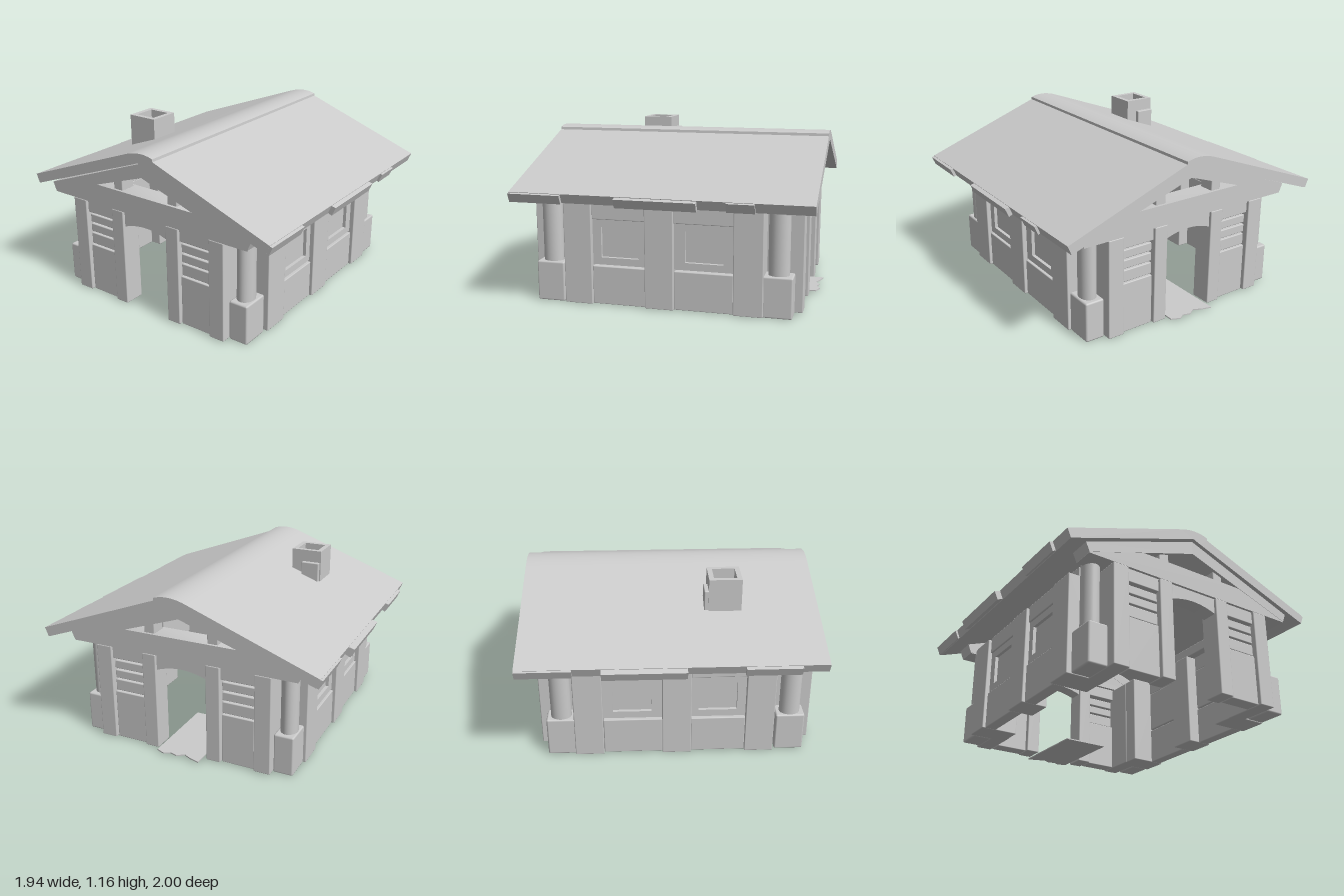
import * as THREE from 'three';
import { toCreasedNormals } from 'three/addons/utils/BufferGeometryUtils.js';
import { RoundedBoxGeometry } from 'three/addons/geometries/RoundedBoxGeometry.js';

const material = new THREE.MeshStandardMaterial({ color: 0xcccccc, side: THREE.DoubleSide });

function add(parent, name, geometry) {
  const mesh = new THREE.Mesh(geometry, material);
  mesh.name = name;
  parent.add(mesh);
  return mesh;
}

// Softly bevelled box given by its limits
function block(parent, name, [x0, x1], [y0, y1], [z0, z1], bevel = 0.006) {
  const g = new RoundedBoxGeometry(x1 - x0, y1 - y0, z1 - z0, 1, bevel);
  g.translate((x0 + x1) / 2, (y0 + y1) / 2, (z0 + z1) / 2);
  return add(parent, name, g);
}

// Polygon of [z, y] points extruded along x from x0 to x1
function alongX(parent, name, points, x0, x1) {
  const shape = new THREE.Shape(points.map(([z, y]) => new THREE.Vector2(-z, y)));
  const g = new THREE.ExtrudeGeometry(shape, { depth: x1 - x0, bevelEnabled: false });
  g.rotateY(Math.PI / 2).translate(x0, 0, 0);
  return add(parent, name, toCreasedNormals(g, 0.4));
}

function rect(Type, x0, x1, y0, y1) {
  const p = new Type();
  p.moveTo(x0, y0);
  p.lineTo(x1, y0);
  p.lineTo(x1, y1);
  p.lineTo(x0, y1);
  p.closePath();
  return p;
}

// Long wall: three posts, two bays with a sill panel and a framed window
function longWall() {
  const wall = new THREE.Group();
  for (const [x, inner] of [[-0.553, 0.52], [0, 0.6], [0.583, 0.52]])
    block(wall, 'wallPost', [x - 0.096, x + 0.096], [0.005, 0.685], [inner, 0.782]);
  for (const [a, b] of [[-0.458, -0.095], [0.095, 0.486]]) {
    const x = (a + b) / 2 + 0.004;
    block(wall, 'lowerPanel', [a, b], [0.005, 0.264], [0.68, 0.762]);
    const frame = rect(THREE.Shape, a, b, 0.273, 0.58);
    frame.holes.push(rect(THREE.Path, x - 0.127, x + 0.127, 0.322, 0.528));
    const g = new THREE.ExtrudeGeometry(frame, { depth: 0.06, bevelEnabled: false });
    add(wall, 'windowFrame', g.translate(0, 0, 0.69));
    block(wall, 'windowPane', [a, b], [0.273, 0.58], [0.68, 0.727]);
    block(wall, 'headBeam', [a, b], [0.578, 0.7], [0.68, 0.762]);
  }
  block(wall, 'topPlate', [-0.635, 0.645], [0.688, 0.76], [0.62, 0.70]);
  return wall;
}

// Gable end: posts, louvred bays, arched doorway, tie beam and rafters
function gableWall() {
  const wall = new THREE.Group();
  for (const s of [-1, 1]) {
    const span = (a, b) => (s > 0 ? [a, b] : [-b, -a]);
    block(wall, 'cornerPost', [0.6, 0.915], [0.005, 0.68], span(0.515, 0.627));
    block(wall, 'doorJamb', [0.77, 0.915], [0.005, 0.68], span(0.18, 0.278));
    block(wall, 'sidePanel', [0.79, 0.895], [0.005, 0.35], span(0.283, 0.51));
    block(wall, 'sideHead', [0.79, 0.895], [0.59, 0.685], span(0.27, 0.52));
    for (const [y, h] of [[0.395, 0.04], [0.475, 0.029], [0.545, 0.029]])
      block(wall, 'louvre', [0.81, 0.885], [y - h, y + h], span(0.283, 0.51));
    block(wall, 'kingStrut', [0.79, 0.895], [0.815, 0.9], span(0.188, 0.262));
    alongX(wall, 'rafter', [[0.825, 0.745], [0.8, 0.685], [0, 0.955], [0, 1.05]]
      .map(([z, y]) => [z * s, y]), 0.765, 0.915);
  }
  // Tie beam cut to the slope of the rafters
  alongX(wall, 'tieBeam', [[0.8, 0.68], [0.8, 0.687], [0.4, 0.82],
    [-0.4, 0.82], [-0.8, 0.687], [-0.8, 0.68]], 0.767, 0.913);
  // Arched lintel
  const arch = [[-0.185, 0.68], [0.185, 0.68]];
  for (let i = 0; i <= 12; i++) {
    const t = 1 - i / 6;
    arch.push([0.185 * t, 0.605 - 0.037 * t * t]);
  }
  alongX(wall, 'doorLintel', arch, 0.79, 0.895);
  return wall;
}

export function createModel() {
  const house = new THREE.Group();
  house.name = 'house';
  // The walls sit slightly off the roof's centre
  const body = new THREE.Group();
  body.name = 'body';
  body.position.set(-0.035, 0, 0.005);
  house.add(body);

  for (const s of [1, -1]) {
    const wall = longWall();
    wall.name = s > 0 ? 'frontWall' : 'backWall';
    wall.scale.z = s;
    body.add(wall);
    const gable = gableWall();
    gable.name = s > 0 ? 'leftGableWall' : 'rightGableWall';
    gable.rotation.y = s > 0 ? 0 : Math.PI;
    body.add(gable);
  }

  // Corner columns on square pedestals
  for (const x of [-0.76, 0.766]) for (const z of [-0.695, 0.695]) {
    block(body, 'pedestal', [x - 0.097, x + 0.097], [0, 0.272], [z - 0.067, z + 0.067], 0.012);
    const column = new THREE.CylinderGeometry(1, 1, 0.45, 24);
    column.scale(0.069, 1, 0.056).translate(x, 0.485, z - 0.003);
    add(body, 'column', column);
  }

  // Roof: straight slopes, rounded ridge and a lip over the front slope
  const roof = new THREE.Group();
  roof.name = 'roof';
  house.add(roof);
  const ridge = new THREE.QuadraticBezierCurve(
    new THREE.Vector2(0.12, 1.108), new THREE.Vector2(0.02, 1.142), new THREE.Vector2(-0.1, 1.097));
  alongX(roof, 'roofShell', [
    [0.947, 0.714], [0.972, 0.775], [0.122, 1.09],
    ...ridge.getPoints(12).map((p) => [p.x, p.y]),
    [-0.962, 0.778], [-0.937, 0.717], [-0.06, 1.035], [0, 1.058], [0.06, 1.035],
  ], -0.972, 0.972);

  // Uneven eave boards, flush with the slopes: [x from, x to, overhang]
  const eaves = {
    1: [[-0.971, -0.62, 0.99], [-0.26, 0.26, 1.0], [0.44, 0.615, 0.987]],
    [-1]: [[-0.8, -0.45, 0.985], [-0.09, 0.44, 1.0], [0.62, 0.971, 0.976]],
  };
  for (const s of [1, -1]) for (const [x0, x1, z] of eaves[s]) {
    const y = 0.774 - (z - 0.97) * 0.37;
    alongX(roof, 'eaveBoard',
      [[z, y], [z - 0.025, y - 0.058], [0.92, 0.73], [0.94, 0.78]].map(([a, b]) => [a * s, b]), x0, x1);
  }

  // Hollow chimney with a small side block
  const flue = rect(THREE.Shape, -0.465, -0.25, 0.308, 0.523);
  flue.holes.push(rect(THREE.Path, -0.433, -0.283, 0.34, 0.49));
  const chimney = new THREE.ExtrudeGeometry(flue, { depth: 0.225, bevelEnabled: false });
  chimney.rotateX(-Math.PI / 2).translate(0, 0.935, 0);
  add(house, 'chimney', chimney);
  block(house, 'chimneySideBlock', [-0.27, -0.222], [0.93, 1.077], [-0.514, -0.387]);

  // Door mat with a ragged outer edge
  const mat = new THREE.Shape();
  mat.moveTo(0.35, -0.17);
  for (const [x, y] of [[0.92, -0.17], [0.945, -0.11], [0.92, -0.07], [0.935, -0.02], [0.905, 0.03],
    [0.93, 0.08], [0.95, 0.15], [0.35, 0.15]]) mat.lineTo(x, y);
  mat.closePath();
  const matGeometry = new THREE.ExtrudeGeometry(mat, { depth: 0.008, bevelEnabled: false });
  add(house, 'doorMat', matGeometry.rotateX(-Math.PI / 2).translate(0, 0.01, 0));

  return house;
}
